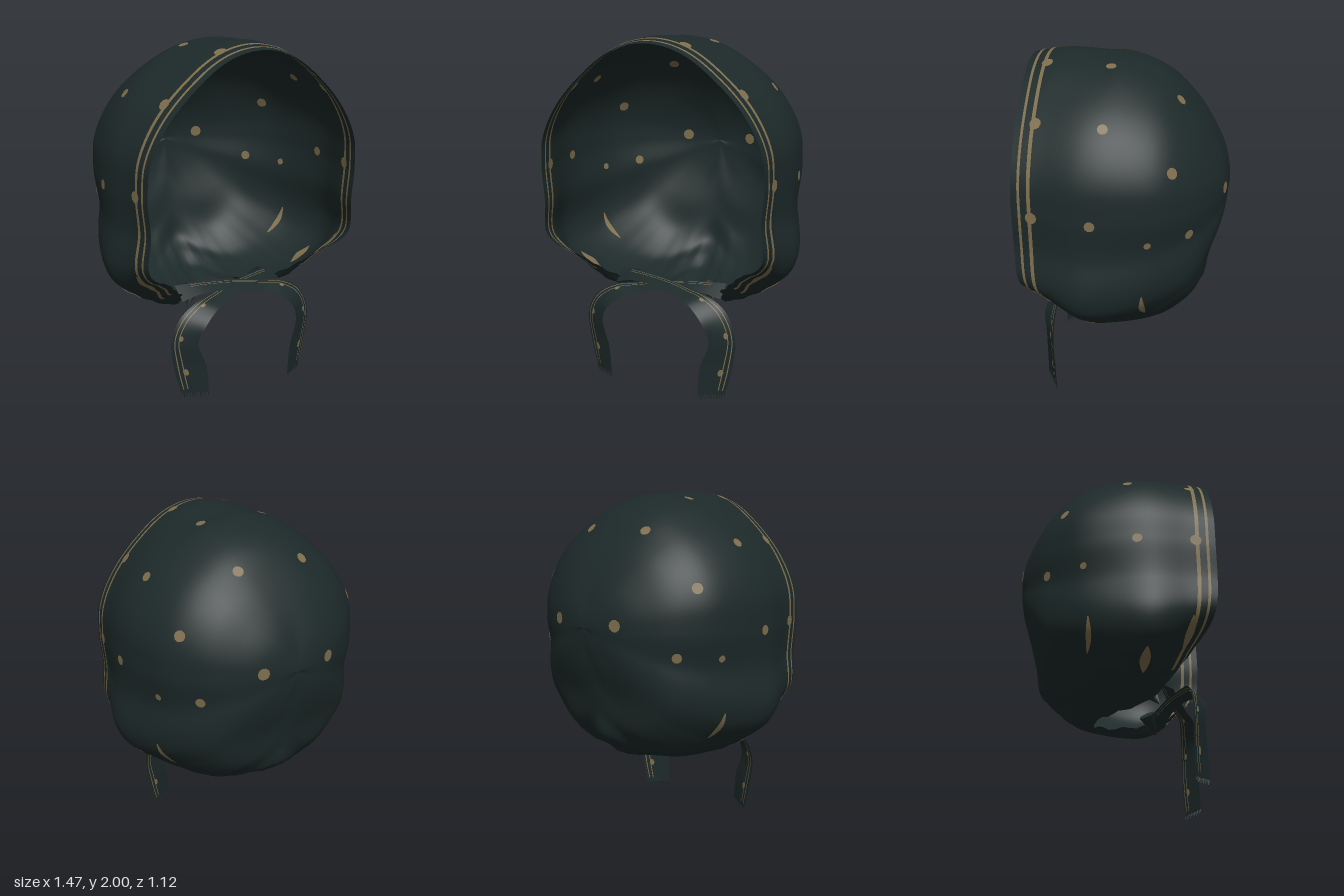
import * as THREE from 'three';

const mat = (name, color) => {
  const m = new THREE.MeshStandardMaterial({ color, side: THREE.DoubleSide });
  m.name = name;
  return m;
};

// smooth interpolation through rows [x, ...values]
function interp(rows, x, flatEnds) {
  const n = rows.length - 1;
  let i = 0;
  while (i < n - 1 && x > rows[i + 1][0]) i++;
  const a = rows[i], b = rows[i + 1], h = b[0] - a[0], t = (x - a[0]) / h;
  const slope = (j, c) => {
    if (flatEnds && (j === 0 || j === n)) return 0;
    const p = rows[Math.max(j - 1, 0)], q = rows[Math.min(j + 1, n)];
    return (q[c] - p[c]) / (q[0] - p[0]);
  };
  const out = [];
  for (let c = 1; c < a.length; c++) {
    const t2 = t * t, t3 = t2 * t;
    out.push((2 * t3 - 3 * t2 + 1) * a[c] + (t3 - 2 * t2 + t) * h * slope(i, c)
      + (3 * t2 - 2 * t3) * b[c] + (t3 - t2) * h * slope(i + 1, c));
  }
  return out;
}

// surface from a function of (u, v), both 0..1
function sheet(fn, nu, nv, wrap = false) {
  const pos = [], idx = [], cols = wrap ? nu : nu + 1;
  for (let i = 0; i < cols; i++)
    for (let j = 0; j <= nv; j++) pos.push(...fn(i / nu, j / nv).toArray());
  for (let i = 0; i < nu; i++)
    for (let j = 0; j < nv; j++) {
      const a = i * (nv + 1) + j, b = ((i + 1) % cols) * (nv + 1) + j;
      idx.push(a, a + 1, b, b, a + 1, b + 1);
    }
  const g = new THREE.BufferGeometry();
  g.setAttribute('position', new THREE.Float32BufferAttribute(pos, 3));
  g.setIndex(idx);
  g.computeVertexNormals();
  return g;
}

// front silhouette: angle from straight down, radius from the centre
const CY = 1.28;
const OUTLINE = [[0, 0.82], [17, 0.85], [31, 0.875], [40, 0.895], [50, 0.905], [58, 0.863], [72, 0.736],
  [90, 0.705], [104, 0.711], [122, 0.705], [145, 0.7], [164, 0.715], [180, 0.72]];

// for each angle: (z, scale) pairs from the open edge to the back of the head
const PROFILES = [
  [0, -0.12, 1, -0.2, 0.97, -0.27, 0.94, -0.34, 0.87, -0.43, 0.77, -0.455, 0.6, -0.49, 0.42, -0.53, 0.22, -0.555, 0],
  [22, 0.24, 0.9, 0.2, 0.98, 0.1, 1, -0.1, 0.97, -0.25, 0.91, -0.4, 0.74, -0.46, 0.5, -0.53, 0.25, -0.555, 0],
  [44, 0.46, 0.8, 0.36, 0.88, 0.2, 0.98, 0, 0.95, -0.2, 0.85, -0.37, 0.7, -0.46, 0.5, -0.53, 0.26, -0.555, 0],
  [60, 0.54, 0.885, 0.4, 0.93, 0.2, 1, 0, 0.95, -0.2, 0.84, -0.36, 0.68, -0.455, 0.51, -0.53, 0.28, -0.555, 0],
  [90, 0.55, 0.92, 0.4, 0.95, 0.2, 1, 0, 0.98, -0.2, 0.9, -0.34, 0.76, -0.44, 0.59, -0.53, 0.32, -0.56, 0],
  [135, 0.55, 0.91, 0.4, 0.95, 0.18, 1, 0, 0.98, -0.2, 0.89, -0.345, 0.73, -0.45, 0.52, -0.53, 0.28, -0.56, 0],
  [180, 0.555, 0.96, 0.35, 1, 0.15, 0.98, 0, 0.97, -0.2, 0.85, -0.35, 0.64, -0.46, 0.42, -0.53, 0.2, -0.56, 0],
];

// point on the hood: deg runs round the face, s runs from the edge (0) to the back (1)
function hood(deg, s) {
  const fold = deg > 180 ? 360 - deg : deg;
  const flat = interp(PROFILES, fold, true), rows = [];
  for (let i = 0; i < 9; i++) rows.push([i / 8, flat[2 * i], flat[2 * i + 1]]);
  rows.push([9 / 8, flat[14], -flat[15]]); // carries on past the back so it stays round
  let [z, k] = interp(rows, s, false);
  // gathered folds near the neck
  const gather = Math.max(0, 1 - fold / 55) * Math.max(0, 1 - s * 1.5);
  k += 0.014 * gather * Math.sin(fold * 0.9);
  const r = interp(OUTLINE, fold, true)[0] * k, a = deg * Math.PI / 180;
  return new THREE.Vector3(r * Math.sin(a), CY - r * Math.cos(a), z);
}

function hoodNormal(deg, s) {
  const s0 = Math.min(Math.max(s, 0.005), 0.98);
  const ds = hood(deg, s0 + 0.005).sub(hood(deg, s0 - 0.005));
  const da = hood(deg + 0.5, s0).sub(hood(deg - 0.5, s0));
  return ds.cross(da).normalize();
}

export function createModel() {
  const model = new THREE.Group();
  model.name = 'bonnet';
  const cloth = mat('dark teal cloth', 0x1d2929);
  const trim = mat('tan trim', 0x7d6d4c);
  const add = (parent, name, geo, material) => {
    const m = new THREE.Mesh(geo, material);
    m.name = name;
    parent.add(m);
    return m;
  };

  add(model, 'hood', sheet((u, v) => hood(u * 360, v), 180, 56, true), cloth);

  // stripes along the face edge, on both faces of the cloth
  const sAt = (deg, d) => d * 0.02 / hood(deg, 0.02).distanceTo(hood(deg, 0));
  for (const off of [0.004, -0.004]) {
    for (const [d, w] of [[0.038, 0.016], [0.092, 0.02]]) {
      const geo = sheet((u, v) => {
        const deg = 34 + u * 292, s = sAt(deg, d + w * v);
        return hood(deg, s).addScaledVector(hoodNormal(deg, s), off);
      }, 140, 1);
      add(model, 'edgeStripe', geo, trim);
    }
    // long marks on each side: [middle angle, angle span, place from edge to back, width]
    for (const [mid, span, place, width] of [[41, 10, 0.27, 0.032], [48, 14, 0.455, 0.014], [48, 15, 0.11, 0.04]])
      for (const side of [1, -1]) {
        const geo = sheet((u, v) => {
          const w = 0.004 + width * Math.sin(u * Math.PI);
          const fold = mid + (u - 0.5) * span, s = place + (v - 0.5) * w;
          const deg = side > 0 ? fold : 360 - fold;
          return hood(deg, s).addScaledVector(hoodNormal(deg, s), off);
        }, 10, 2);
        add(model, 'sideMark', geo, trim);
      }
  }

  // dots, mirrored and laid on both faces of the cloth
  const samples = [];
  for (let deg = 20; deg <= 180; deg += 3)
    for (let s = 0.02; s < 0.98; s += 0.02) samples.push({ deg, s, p: hood(deg, s) });
  const dots = [
    [0.21, 1.81, -0.3, 0.03], [0.2, 1.96, 0.09, 0.028], [0.55, 1.51, -0.27, 0.031], [0.55, 1.73, 0.08, 0.028],
    [0.68, 1.26, 0.13, 0.028], [0.21, 1.31, -0.53, 0.034], [0.49, 1.15, -0.36, 0.028], [0.66, 1.13, -0.17, 0.02],
    [0.18, 1.97, 0.44, 0.032], [0.5, 1.73, 0.44, 0.032], [0.65, 1.27, 0.44, 0.032],
  ];
  for (const [x, y, z, r] of dots) {
    const target = new THREE.Vector3(x, y, z);
    const near = samples.reduce((a, b) => (b.p.distanceToSquared(target) < a.p.distanceToSquared(target) ? b : a));
    const n = hoodNormal(near.deg, near.s);
    const p = target.addScaledVector(n, -n.dot(target.clone().sub(near.p)));
    for (const side of [1, -1])
      for (const off of [0.005, -0.005]) {
        const dot = add(model, 'dot', new THREE.CircleGeometry(r, 10), trim);
        dot.position.copy(p).addScaledVector(n, off);
        dot.position.x *= side;
        dot.lookAt(dot.position.clone().add(new THREE.Vector3(n.x * side, n.y, n.z)));
      }
  }

  // ties: centre line and half-width vector at each step, crossing under the chin
  const path = [
    [0, -0.33, 0.585, 0.25, 0, 0.03, -0.05], [1, -0.2, 0.61, 0.29, 0, 0.018, -0.04],
    [2, 0, 0.605, 0.34, 0.01, 0.014, -0.04], [3, 0.14, 0.588, 0.385, 0.02, 0.015, -0.04],
    [4, 0.25, 0.568, 0.43, 0.04, 0.022, -0.04], [5, 0.345, 0.495, 0.45, 0.055, 0.025, -0.045],
    [6, 0.395, 0.365, 0.445, 0.065, 0.012, -0.035], [7, 0.365, 0.2, 0.45, 0.082, 0, -0.042],
    [8, 0.338, 0.03, 0.455, 0.068, -0.008, -0.04],
  ];
  // u along the tie, w across it (-1 inner edge, 1 outer edge)
  const tiePoint = (u, w, off = 0) => {
    const at = (t) => interp(path, t * 8, false);
    const [x, y, z, a, b, c] = at(u);
    const half = new THREE.Vector3(a, b, c);
    const p = new THREE.Vector3(x, y, z).addScaledVector(half, w);
    if (off) {
      const q0 = at(Math.max(u - 0.01, 0)), q1 = at(Math.min(u + 0.01, 1));
      const along = new THREE.Vector3(q1[0] - q0[0], q1[1] - q0[1], q1[2] - q0[2]);
      p.addScaledVector(along.cross(half).normalize(), off);
    }
    return p;
  };
  for (const side of [1, -1]) {
    const tie = new THREE.Group();
    tie.name = side > 0 ? 'leftTie' : 'rightTie';
    const place = (p) => {
      p.x *= side;
      if (side < 0) p.y += 0.035 * Math.min(1, Math.max(0, (0.55 - p.y) * 4)) - 0.01;
      return p;
    };
    add(tie, 'ribbon', sheet((u, v) => place(tiePoint(u, v * 2 - 1)), 60, 6), cloth);
    for (const off of [0.003, -0.003]) {
      for (const w of [0.4, 0.7])
        add(tie, 'ribbonStripe', sheet((u, v) => place(tiePoint(0.08 + u * 0.9, w + v * 0.07, off)), 60, 1), trim);
      for (const u of [0.5, 0.73, 0.9])
        add(tie, 'ribbonDot', sheet((a, v) => place(tiePoint(
          u + 0.016 * v * Math.sin(a * Math.PI * 2), 0.32 + 0.18 * v * Math.cos(a * Math.PI * 2), off)), 10, 1), trim);
    }
    // frayed threads at the end
    for (let i = 0; i <= 10; i++) {
      const length = 0.02 + 0.008 * (i % 2);
      const thread = add(tie, 'fringeThread', new THREE.BoxGeometry(0.004, length, 0.004), cloth);
      thread.position.copy(place(tiePoint(1, -0.96 + i * 0.192)));
      thread.position.y -= length / 2 - 0.002;
    }
    // bunched cloth where the tie meets the hood
    const knot = add(tie, 'gather', new THREE.ConeGeometry(0.05, 0.14, 7), cloth);
    knot.position.set(-0.24 * side, 0.535, 0.22);
    knot.rotation.set(Math.PI * 0.85, 0, 0.5 * side);
    model.add(tie);
  }
  return model;
}
